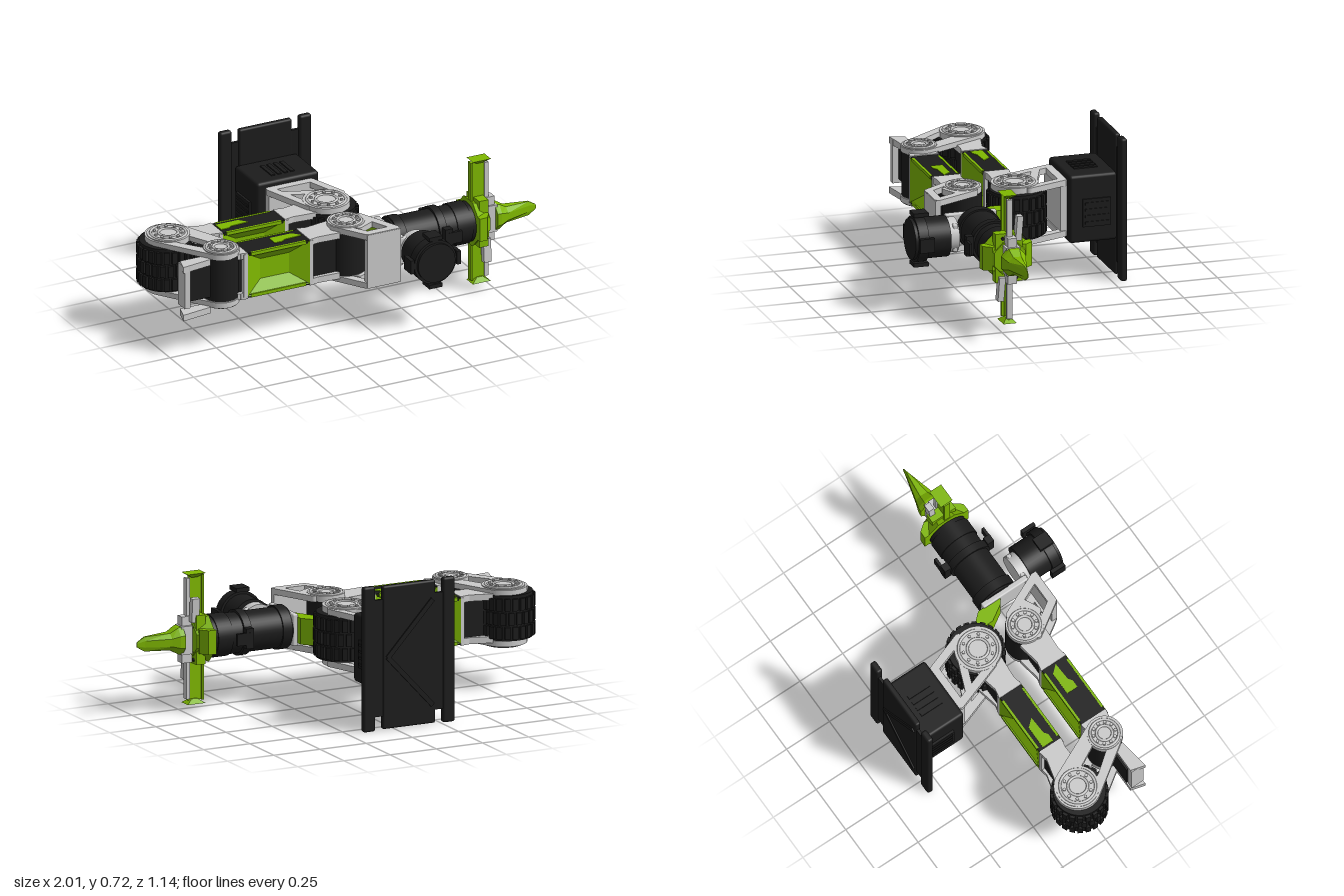
import * as THREE from 'three';
import { RoundedBoxGeometry } from 'three/addons/geometries/RoundedBoxGeometry.js';

const MID = 0.36; // height of the arm's centre line
const mat = (color, extra = {}) => new THREE.MeshStandardMaterial({ color, ...extra });
const grey = mat(0xcccccc), black = mat(0x1c1c1c), green = mat(0x7fb800);
const greenFlat = mat(0x7fb800, { flatShading: true, side: THREE.DoubleSide });

export function createModel() {
  const root = new THREE.Group();

  const add = (name, geo, m, parent = root) => {
    const mesh = new THREE.Mesh(geo, m);
    mesh.name = name;
    parent.add(mesh);
    return mesh;
  };
  const part = (name) => {
    const g = new THREE.Group();
    g.name = name;
    root.add(g);
    return g;
  };
  // box given by its extents
  const box = (name, m, x0, x1, y0, y1, z0, z1, parent, r = 0) => {
    const s = [x1 - x0, y1 - y0, z1 - z0];
    const geo = r ? new RoundedBoxGeometry(...s, 2, r) : new THREE.BoxGeometry(...s);
    const mesh = add(name, geo, m, parent);
    mesh.position.set((x0 + x1) / 2, (y0 + y1) / 2, (z0 + z1) / 2);
    return mesh;
  };
  // cylinder along 'x', 'y' or 'z' from a to b; c = the two other coordinates in order
  const cyl = (name, m, axis, c, r, a, b, parent, sides = 40) => {
    const geo = new THREE.CylinderGeometry(r, r, b - a, sides);
    const mid = (a + b) / 2;
    if (axis === 'x') geo.rotateZ(Math.PI / 2).translate(mid, c[0], c[1]);
    else if (axis === 'z') geo.rotateX(Math.PI / 2).translate(c[0], c[1], mid);
    else geo.translate(c[0], mid, c[1]);
    return add(name, geo, m, parent);
  };
  // horizontal slab: outline in x,z between two heights
  const slab = (name, m, shape, y0, y1, parent) => {
    const geo = new THREE.ExtrudeGeometry(shape, { depth: y1 - y0, bevelEnabled: false, curveSegments: 20 });
    return add(name, geo.rotateX(Math.PI / 2).translate(0, y1, 0), m, parent);
  };
  const poly = (pts) => new THREE.Shape(pts.map((p) => new THREE.Vector2(...p)));
  // rounded outline wrapped around two circles
  const capsule = (a, ra, b, rb, Type = THREE.Shape) => {
    const t = Math.atan2(b[1] - a[1], b[0] - a[0]);
    const p = Math.acos((ra - rb) / Math.hypot(b[0] - a[0], b[1] - a[1]));
    const s = new Type();
    s.absarc(a[0], a[1], ra, t + p, t + 2 * Math.PI - p, false);
    s.absarc(b[0], b[1], rb, t - p, t + p, false);
    s.closePath();
    return s;
  };
  // the same thing above and below the centre line
  const topAndBottom = (y0, y1, fn) => {
    fn(y0, y1, 1);
    fn(2 * MID - y1, 2 * MID - y0, -1);
  };
  // bolted cover discs on both ends of a vertical joint
  const covers = (c, r, parent) => topAndBottom(0.47, 0.505, (y0, y1, s) => {
    cyl('jointCover', grey, 'y', c, r, y0, y1, parent);
    const top = s > 0 ? y1 : y0;
    for (const k of [0.82, 0.45]) {
      const ring = add('coverRing', new THREE.TorusGeometry(r * k, 0.007, 6, 40).rotateX(Math.PI / 2), grey, parent);
      ring.position.set(c[0], top, c[1]);
    }
    for (let i = 0; i < 10; i++) {
      const a = (i / 10) * Math.PI * 2;
      cyl('coverBolt', grey, 'y', [c[0] + r * 0.64 * Math.cos(a), c[1] + r * 0.64 * Math.sin(a)],
        0.008, top - 0.007, top + 0.007, parent, 8);
    }
  });
  // motor drum with a knobbly rim
  const ribbedDrum = (c, r, parent) => {
    cyl('motorDrum', black, 'y', c, r - 0.012, 0.25, 0.475, parent);
    for (let i = 0; i < 22; i++) for (const y of [0.29, 0.36, 0.43]) {
      const a = ((i + (y === 0.36 ? 0.5 : 0)) / 22) * Math.PI * 2;
      const knob = add('drumRib', new THREE.BoxGeometry(0.025, 0.06, 0.026), black, parent);
      knob.position.set(c[0] + (r - 0.012) * Math.cos(a), y, c[1] + (r - 0.012) * Math.sin(a));
      knob.rotation.y = -a;
    }
  };
  const struts = (list, w, parent) => topAndBottom(0.473, 0.503, (y0, y1) => {
    for (const [a, b] of list) slab('yokeStrut', grey, capsule(a, w, b, w), y0, y1, parent);
  });

  // wall mounting plate with a raised strip on each side
  const plate = part('mountingPlate');
  box('plateWeb', black, -0.3, 0.15, 0.07, 0.65, -0.565, -0.55, plate);
  box('platePanel', black, -0.22, 0.065, 0.005, 0.715, -0.57, -0.54, plate, 0.01);
  for (const x of [-0.325, 0.105]) box('plateStrip', black, x, x + 0.065, 0, 0.72, -0.572, -0.538, plate, 0.012);
  for (const [a, b] of [[[-0.2, 0.1], [0.04, 0.36]], [[0.04, 0.36], [-0.2, 0.62]]]) {
    const rib = box('plateRib', black, -0.18, 0.18, -0.012, 0.012, -0.006, 0.006, plate);
    rib.position.set((a[0] + b[0]) / 2, (a[1] + b[1]) / 2, -0.571);
    rib.rotation.z = Math.atan2(b[1] - a[1], b[0] - a[0]);
  }

  // base housing with vents
  const base = part('baseHousing');
  box('housing', black, -0.245, 0.09, 0.19, 0.53, -0.545, -0.305, base, 0.015);
  for (const [x0, x1] of [[-0.257, -0.243], [0.088, 0.097]]) {
    box('ventFrame', black, x0, x1, 0.27, 0.41, -0.51, -0.37, base);
    for (let i = 0; i < 4; i++) box('ventBar', black, x0 - 0.004, x1 + 0.004, 0.285 + i * 0.032, 0.297 + i * 0.032, -0.5, -0.38, base);
  }
  for (const y of [0.19, 0.53]) for (let i = 0; i < 4; i++)
    box('ventBar', black, -0.14 + i * 0.035, -0.12 + i * 0.035, y - 0.006, y + 0.006, -0.48, -0.36, base);

  // shoulder joint and yoke
  const shoulder = part('shoulderJoint');
  const S = [0.0, -0.055];
  ribbedDrum([0.015, -0.06], 0.145, shoulder);
  covers(S, 0.115, shoulder);
  struts([[[-0.185, -0.285], [-0.1, -0.04]], [[0.035, -0.285], [0.1, -0.1]], [[-0.185, -0.285], [0.035, -0.285]],
    [[-0.15, -0.21], [0.0, -0.15]]], 0.02, shoulder);
  box('yokeWall', grey, -0.2, 0.05, 0.22, 0.5, -0.31, -0.27, shoulder);

  // elbow joint and hollow yoke
  const elbow = part('elbowJoint');
  const E = [-0.85, -0.06], F = [-0.7, 0.2];
  ribbedDrum([-0.865, -0.06], 0.14, elbow);
  cyl('forearmMotor', black, 'y', F, 0.085, 0.25, 0.475, elbow);
  topAndBottom(0.473, 0.5, (y0, y1) => {
    const s = capsule(E, 0.115, F, 0.09);
    s.holes.push(capsule([-0.815, 0.035], 0.045, [-0.75, 0.135], 0.035, THREE.Path));
    slab('elbowYoke', grey, s, y0, y1, elbow);
    slab('tailBracket', grey, poly([[-0.92, 0.2], [-0.78, 0.2], [-0.78, 0.25], [-0.94, 0.275]]), y0 - 0.03, y1 - 0.025, elbow);
  });
  box('tailWall', grey, -0.93, -0.9, 0.25, 0.47, 0.2, 0.27, elbow);
  box('tailBlock', black, -0.9, -0.74, 0.27, 0.45, 0.19, 0.24, elbow);
  covers(E, 0.105, elbow);
  covers(F, 0.085, elbow);

  // wrist joint and triangular yoke
  const wrist = part('wristJoint');
  const W = [-0.025, 0.2];
  cyl('wristMotor', black, 'y', W, 0.095, 0.25, 0.475, wrist);
  covers(W, 0.092, wrist);
  struts([[[-0.1, 0.225], [0.0, 0.378]], [[0.0, 0.378], [0.15, 0.378]], [[0.055, 0.17], [0.15, 0.378]],
    [[0.0, 0.29], [0.08, 0.25]]], 0.02, wrist);
  box('yokeWall', grey, -0.01, 0.17, 0.22, 0.5, 0.37, 0.4, wrist);

  // recessed side panel: outer rectangle sloping in to a deeper, smaller one
  const recess = (x0, x1, z, depth) => {
    const ring = (ix, iy, zz) => [[x0 + ix, 0.25 + iy], [x1 - ix, 0.25 + iy], [x1 - ix, 0.475 - iy], [x0 + ix, 0.475 - iy]].map((p) => [...p, zz]);
    const o = ring(0, 0, z), n = ring(0.09, 0.06, z - depth), v = [];
    const quad = (a, b, c, d) => v.push(...a, ...b, ...c, ...a, ...c, ...d);
    for (let i = 0; i < 4; i++) quad(o[i], o[(i + 1) % 4], n[(i + 1) % 4], n[i]);
    quad(...n);
    const geo = new THREE.BufferGeometry();
    geo.setAttribute('position', new THREE.Float32BufferAttribute(v, 3));
    geo.computeVertexNormals();
    return geo;
  };

  // the two arm links, each with brackets running to the joints
  const links = [['upperArm', -0.11, 0.02, E[0], E[1], S[0], S[1]], ['forearm', 0.135, 0.28, F[0], F[1], W[0], W[1]]];
  for (const [name, z0, z1, ax, az, bx, bz] of links) {
    const g = part(name), x0 = -0.595, x1 = -0.26, zc = (z0 + z1) / 2;
    box('linkCore', black, x0 + 0.01, x1 - 0.01, 0.27, 0.455, zc - 0.018, zc + 0.018, g);
    add('sidePanel', recess(x0, x1, z1, 0.045), greenFlat, g);
    add('sidePanel', recess(x0, x1, z0, -0.045), greenFlat, g);
    topAndBottom(0.462, 0.478, (y0, y1) => {
      box('linkSkin', black, x0, x1, y0, y1, z0 + 0.004, z1 - 0.004, g);
      const left = name === 'upperArm' ? x0 + 0.01 : x0 + 0.17;
      slab('greenInlay', green, poly([[left, zc - 0.035], [left + 0.12, zc - 0.035], [left + 0.155, zc + 0.005],
        [left + 0.06, zc + 0.01], [left + 0.04, zc + 0.025], [left, zc + 0.025]]), y0 - 0.003, y1 + 0.003, g);
      for (const z of [z0, z1 - 0.012]) box('greenEdge', green, x0 + 0.02, x1 - 0.02, y0, y1 + 0.001, z, z + 0.012, g);
    });
    for (const [px, pz, edge, s] of [[ax, az, x0, -1], [bx, bz, x1, 1]]) {
      const near = px - s * 0.07;
      const outline = () => poly([[edge, z0], [edge + s * 0.05, z0 + 0.01], [near, pz - 0.075], [near, pz + 0.075], [edge + s * 0.05, z1 - 0.01], [edge, z1]]);
      topAndBottom(0.45, 0.482, (y0, y1) => slab('linkBracket', grey, outline(), y0, y1, g));
      box('bracketWall', grey, Math.min(edge, edge + s * 0.02), Math.max(edge, edge + s * 0.02), 0.25, 0.475, z0, z1, g);
      box('bracketCore', black, Math.min(edge, near), Math.max(edge, near), 0.27, 0.45, zc - 0.045, zc + 0.045, g);
    }
  }

  // roll motor facing front, with its flange and angle bracket
  const roll = part('rollMotor');
  cyl('rollBody', black, 'z', [0.28, MID], 0.1, 0.385, 0.565, roll);
  cyl('rollFlange', black, 'z', [0.28, MID], 0.113, 0.5, 0.55, roll);
  for (let i = 0; i < 4; i++) {
    const a = (i * Math.PI) / 2, tab = box('flangeTab', black, -0.035, 0.035, -0.01, 0.01, 0.48, 0.555, roll);
    tab.position.x = 0.28 + 0.125 * Math.sin(a);
    tab.position.y = MID + 0.125 * Math.cos(a);
    tab.rotation.z = -a;
  }
  cyl('rollCap', grey, 'z', [0.27, MID], 0.085, 0.335, 0.387, roll);
  box('rollBracket', grey, 0.17, 0.34, 0.29, 0.43, 0.34, 0.365, roll, 0.008);
  box('rollBracketArm', grey, 0.175, 0.205, 0.28, 0.44, 0.1, 0.36, roll, 0.008);
  slab('cableGuard', green, poly([[0.1, 0.03], [0.125, 0.01], [0.18, 0.07], [0.18, 0.2], [0.15, 0.18], [0.1, 0.1]]), 0.295, 0.425, roll);

  // tool motor along x with its clamp
  const tool = part('toolMotor');
  const T = [MID, 0.2];
  cyl('toolBody', black, 'x', T, 0.1, 0.2, 0.63, tool);
  cyl('toolRim', black, 'x', T, 0.108, 0.21, 0.26, tool);
  cyl('toolClamp', black, 'x', T, 0.112, 0.43, 0.47, tool);
  cyl('toolSleeve', black, 'x', T, 0.106, 0.53, 0.61, tool);
  for (const s of [-1, 1]) {
    box('clampTab', black, 0.44, 0.48, 0.31, 0.41, 0.2 + s * 0.125 - 0.018, 0.2 + s * 0.125 + 0.018, tool);
    box('clampLip', black, 0.45, 0.53, 0.33, 0.39, 0.2 + s * 0.138 - 0.007, 0.2 + s * 0.138 + 0.007, tool);
  }

  // gripper: faceted hub, long fingers with green tips, pointed nose
  const grip = part('gripper');
  add('gripperHub', new THREE.CylinderGeometry(0.085, 0.125, 0.08, 8).rotateY(Math.PI / 8).rotateZ(-Math.PI / 2)
    .translate(0.675, MID, 0.2), greenFlat, grip);
  box('hubBlock', green, 0.66, 0.71, 0.24, 0.485, 0.135, 0.27, grip);
  box('hubCore', grey, 0.69, 0.775, 0.29, 0.43, 0.165, 0.235, grip);
  for (const s of [-1, 1]) {
    const z = 0.2 + s * 0.105;
    slab('sideClaw', green, poly([[0.635, z - s * 0.03], [0.635, z + s * 0.022], [0.675, z + s * 0.02], [0.705, z - s * 0.02], [0.7, z - s * 0.05]]), 0.3, 0.42, grip);
    for (const dz of [-0.035, 0.035]) for (const dy of [0.06, 0.1])
      cyl('hubBolt', black, 'x', [MID + s * dy, 0.2 + dz], 0.009, 0.705, 0.715, grip, 10);
    const y = (d) => MID + s * d;
    const range = (a, b) => [Math.min(y(a), y(b)), Math.max(y(a), y(b))];
    box('fingerRail', grey, 0.715, 0.735, ...range(0.08, 0.3), 0.192, 0.22, grip);
    box('fingerBrace', grey, 0.69, 0.765, ...range(0.06, 0.115), 0.18, 0.225, grip);
    box('fingerBack', green, 0.64, 0.652, ...range(0.1, 0.31), 0.19, 0.222, grip);
    box('fingerWeb', green, 0.645, 0.72, ...range(0.1, 0.31), 0.202, 0.21, grip);
    const slider = box('slider', grey, 0.69, 0.73, ...range(0.09, 0.21), 0.2 - s * 0.045 - 0.015, 0.2 - s * 0.045 + 0.015, grip);
    slider.rotation.x = -0.08;
    const tip = add('fingerTip', new THREE.CylinderGeometry(0.037, 0.012, 0.022, 4, 1).rotateY(Math.PI / 4)
      .scale(1.85, s, 1.3).translate(0.69, y(0.312), 0.205), greenFlat, grip);
    tip.material.side = THREE.DoubleSide;
  }
  // nose tapers in plan and steps in height
  const nose = [[0.765, 0.07, 0.06], [0.79, 0.065, 0.058], [0.83, 0.042, 0.045], [0.96, 0.036, 0.01], [1.0, 0.012, 0.002]];
  const pos = [], idx = [];
  nose.forEach(([x, h, w], i) => {
    for (const [sy, sz] of [[1, 0.45], [0.45, 1], [-0.45, 1], [-1, 0.45], [-1, -0.45], [-0.45, -1], [0.45, -1], [1, -0.45]])
      pos.push(x, MID + sy * h, 0.2 + sz * w);
    if (i) for (let k = 0; k < 8; k++) {
      const a = (i - 1) * 8 + k, b = (i - 1) * 8 + ((k + 1) % 8);
      idx.push(a, b, a + 8, b, b + 8, a + 8);
    }
  });
  for (let k = 1; k < 7; k++) idx.push(0, k + 1, k, 32, 32 + k, 33 + k);
  const noseGeo = new THREE.BufferGeometry();
  noseGeo.setAttribute('position', new THREE.Float32BufferAttribute(pos, 3));
  noseGeo.setIndex(idx);
  noseGeo.computeVertexNormals();
  add('gripperNose', noseGeo, greenFlat, grip);

  return root;
}
